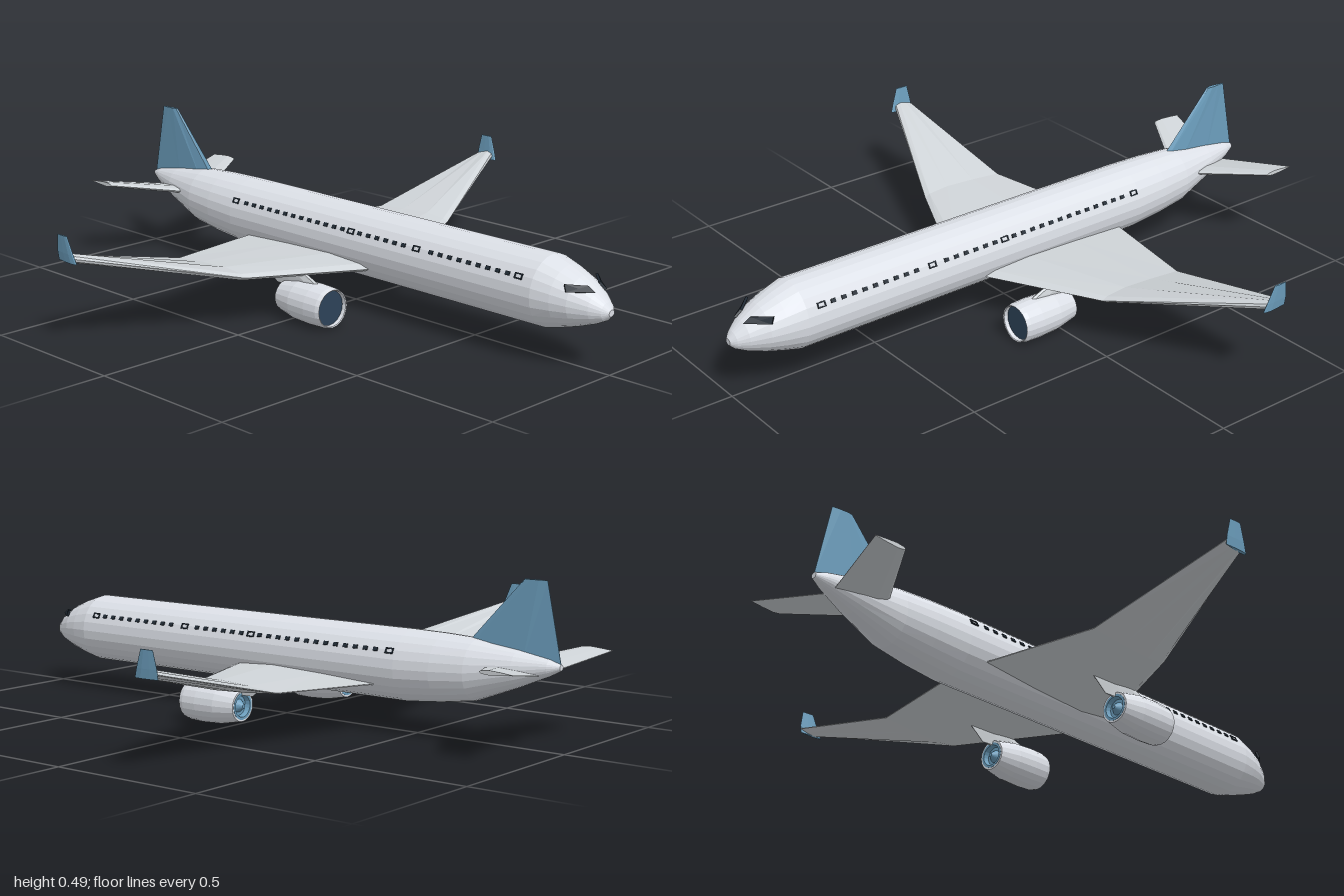
import * as THREE from 'three';

const V = (x, y, z) => new THREE.Vector3(x, y, z);
const paint = (name, color) => {
  const m = new THREE.MeshStandardMaterial({ color });
  m.name = name;
  return m;
};

// Closed, faceted solid through rings of equal point count, faces turned outward
function loft(rings) {
  const tris = [];
  const n = rings[0].length;
  for (let i = 0; i < rings.length - 1; i++) {
    for (let j = 0; j < n; j++) {
      const k = (j + 1) % n;
      const [a, b, c, d] = [rings[i][j], rings[i][k], rings[i + 1][k], rings[i + 1][j]];
      tris.push([a, b, c], [a, c, d]);
    }
  }
  const cap = (ring, flip) => {
    const mid = ring.reduce((s, p) => s.add(p), V(0, 0, 0)).divideScalar(n);
    for (let j = 0; j < n; j++) {
      const k = (j + 1) % n;
      tris.push(flip ? [mid, ring[k], ring[j]] : [mid, ring[j], ring[k]]);
    }
  };
  cap(rings[0], true);
  cap(rings[rings.length - 1], false);
  const volume = tris.reduce((s, [a, b, c]) => s + a.dot(b.clone().cross(c)), 0);
  const points = tris.flatMap(([a, b, c]) => (volume < 0 ? [a, c, b] : [a, b, c]));
  const geo = new THREE.BufferGeometry().setFromPoints(points);
  geo.computeVertexNormals();
  return geo;
}

// Ellipse across the z axis
const ellipse = (z, rx, bottom, top, n = 24, cx = 0) =>
  Array.from({ length: n }, (_, i) => {
    const a = (i / n) * Math.PI * 2;
    return V(cx + Math.cos(a) * rx, (bottom + top) / 2 + Math.sin(a) * (top - bottom) / 2, z);
  });

// Aerofoil outline: [chord fraction, thickness fraction]
const FOIL = [[0, 0], [0.06, 0.3], [0.3, 0.5], [0.65, 0.32], [1, 0.04], [1, -0.04], [0.6, -0.35], [0.25, -0.5], [0.05, -0.3]];
// Sections lie across the x axis, or across the y axis when upright
const foil = (x, y, lead, trail, t, upright = false) =>
  FOIL.map(([c, h]) => V(x + (upright ? h * t : 0), y + (upright ? 0 : h * t), lead + (trail - lead) * c));

export function createModel() {
  const model = new THREE.Group();
  model.name = 'airliner';
  const white = paint('body white', 0xdfe3ea);
  const grey = paint('wing grey', 0xd0d5d9);
  const blue = paint('accent blue', 0x6c9ebd);
  const navy = paint('intake navy', 0x2d4359);
  const dark = paint('window dark', 0x1f2933);

  const add = (name, geo, mat, parent = model) => {
    const mesh = new THREE.Mesh(geo, mat);
    mesh.name = name;
    parent.add(mesh);
    return mesh;
  };

  // Fuselage: z, half width, bottom, top
  const body = [
    [1.0, 0.012, 0.173, 0.193], [0.985, 0.03, 0.158, 0.212], [0.955, 0.052, 0.143, 0.238],
    [0.9, 0.08, 0.124, 0.272], [0.85, 0.095, 0.11, 0.293], [0.79, 0.107, 0.095, 0.313],
    [-0.48, 0.107, 0.095, 0.313], [-0.6, 0.1, 0.106, 0.311], [-0.71, 0.088, 0.122, 0.306],
    [-0.85, 0.057, 0.176, 0.287], [-0.95, 0.026, 0.219, 0.268], [-0.985, 0.01, 0.238, 0.256],
  ];
  add('fuselage', loft(body.map((r) => ellipse(...r))), white);

  // Tail fin
  add('tailFin', loft([
    foil(0, 0.25, -0.635, -0.985, 0.028, true),
    foil(0, 0.49, -0.86, -0.935, 0.014, true),
  ]), blue);

  const frame = new THREE.Shape([[-0.014, -0.009], [0.014, -0.009], [0.014, 0.009], [-0.014, 0.009]]
    .map((p) => new THREE.Vector2(...p)));
  frame.holes.push(new THREE.Path([[-0.01, -0.005], [-0.01, 0.005], [0.01, 0.005], [0.01, -0.005]]
    .map((p) => new THREE.Vector2(...p))));
  const frameGeo = new THREE.ExtrudeGeometry(frame, { depth: 0.006, bevelEnabled: false })
    .translate(0, 0, -0.003).rotateY(Math.PI / 2);
  const windowGeo = new THREE.BoxGeometry(0.006, 0.012, 0.016);
  const exits = [0.74, 0.345, 0.07, -0.46];

  for (const s of [1, -1]) {
    const side = s > 0 ? 'left' : 'right';

    // Wing with a kink at mid span
    add(side + 'Wing', loft([
      foil(0, 0.147, 0.188, -0.42, 0.045),
      foil(s * 0.105, 0.15, 0.14, -0.4, 0.04),
      foil(s * 0.45, 0.163, -0.02, -0.325, 0.032),
      foil(s * 0.92, 0.276, -0.232, -0.3, 0.028),
    ]), grey);

    // Upturned wing tip
    add(side + 'Winglet', loft([
      foil(s * 0.92, 0.262, -0.215, -0.3, 0.012, true),
      foil(s * 0.924, 0.29, -0.225, -0.3, 0.01, true),
      foil(s * 0.929, 0.343, -0.245, -0.29, 0.006, true),
    ]), blue);

    // Horizontal stabiliser
    add(side + 'Stabilizer', loft([
      foil(0, 0.217, -0.724, -0.92, 0.026),
      foil(s * 0.275, 0.263, -0.887, -0.995, 0.014),
    ]), grey);

    // Engine: cowling with an open lip, intake, nozzle and pylon
    const engine = new THREE.Group();
    engine.name = side + 'Engine';
    model.add(engine);
    const ex = s * 0.265;
    const ey = 0.066;
    const rings = (list) => loft(list.map(([z, r]) => ellipse(z, r, ey - r, ey + r, 20, ex)));
    add('cowling', rings([
      [0.14, 0.055], [0.163, 0.056], [0.165, 0.059], [0.15, 0.063], [0.1, 0.065],
      [0.03, 0.062], [-0.04, 0.048], [-0.04, 0.042], [-0.02, 0.042],
    ]), white, engine);
    add('intake', rings([[0.146, 0.0548], [0.15, 0.0548]]), navy, engine);
    add('nozzle', rings([
      [-0.01, 0.042], [-0.041, 0.042], [-0.041, 0.034], [-0.025, 0.03],
      [-0.025, 0.02], [-0.045, 0.006],
    ]), blue, engine);
    add('pylon', loft([
      foil(ex, 0.1, 0.12, -0.08, 0.022, true),
      foil(ex, 0.132, 0.1, -0.12, 0.022, true),
      foil(ex, 0.157, 0.04, -0.15, 0.018, true),
    ]), grey, engine);

    // Cockpit window
    const pane = [V(s * 0.026, 0.24, 0.962), V(s * 0.079, 0.24, 0.899),
      V(s * 0.076, 0.261, 0.89), V(s * 0.028, 0.256, 0.938)];
    const inward = V(-s * 0.0045, -0.003, -0.0055);
    add(side + 'CockpitWindow', loft([pane, pane.map((p) => p.clone().add(inward))]), dark);

    // Cabin windows and exit frames
    const cabin = new THREE.Group();
    cabin.name = side + 'CabinWindows';
    model.add(cabin);
    const tilt = 0.5;
    const place = (mesh, z) => {
      mesh.position.set(s * Math.cos(tilt) * 0.1065, 0.204 + Math.sin(tilt) * 0.1085, z);
      mesh.rotation.z = s * tilt;
    };
    for (const z of exits) place(add('exitFrame', frameGeo, dark, cabin), z);
    for (let z = 0.7; z > -0.44; z -= 0.037) {
      if (exits.every((e) => Math.abs(e - z) > 0.024)) place(add('cabinWindow', windowGeo, dark, cabin), z);
    }
  }
  return model;
}
